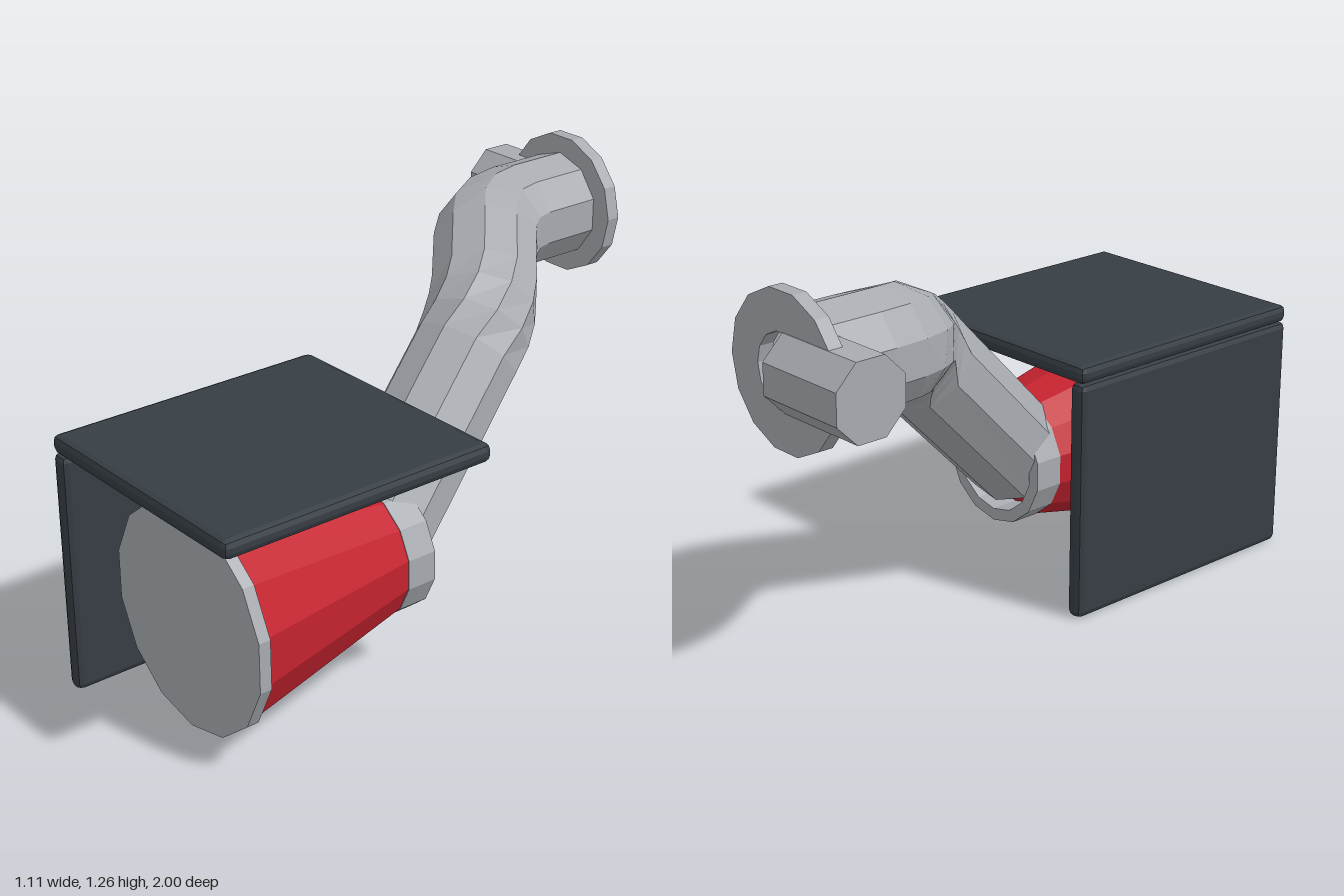
import * as THREE from 'three';
import { RoundedBoxGeometry } from 'three/addons/geometries/RoundedBoxGeometry.js';

const V = (x, y, z) => new THREE.Vector3(x, y, z);

// faceted normals
function flat(geometry) {
  const g = geometry.index ? geometry.toNonIndexed() : geometry;
  g.computeVertexNormals();
  return g;
}

function polygon(radius, sides, phase) {
  return Array.from({ length: sides }, (_, i) => {
    const a = phase + (i / sides) * Math.PI * 2;
    return new THREE.Vector2(Math.sin(a) * radius, Math.cos(a) * radius);
  });
}

// flat annulus with its back at z = 0
function ringGeometry(outer, inner, depth, phase) {
  const shape = new THREE.Shape(polygon(outer, 14, phase));
  shape.holes.push(new THREE.Path(polygon(inner, 14, phase)));
  return flat(new THREE.ExtrudeGeometry(shape, { depth, bevelEnabled: false }));
}

// ten-sided pipe swept through the path points, capped at its start
function pipeGeometry(points, radius, sides) {
  const rings = points.map((p, i) => {
    const before = points[Math.max(i - 1, 0)];
    const after = points[Math.min(i + 1, points.length - 1)];
    const t = after.clone().sub(before).normalize();
    const side = V(0, 1, 0).cross(t).normalize();
    const up = t.clone().cross(side);
    return polygon(radius, sides, 0).map((q) =>
      p.clone().addScaledVector(up, q.y).addScaledVector(side, q.x));
  });
  const verts = [];
  for (let j = 0; j < sides; j++) {
    const k = (j + 1) % sides;
    verts.push(points[0], rings[0][j], rings[0][k]);
    for (let i = 0; i < rings.length - 1; i++) {
      const a = rings[i], b = rings[i + 1];
      verts.push(a[j], b[j], a[k], b[j], b[k], a[k]);
    }
  }
  return flat(new THREE.BufferGeometry().setFromPoints(verts));
}

// polyline whose inner corners are rounded off
function roundedPath(corners, reach) {
  const path = [corners[0]];
  for (let i = 1; i < corners.length - 1; i++) {
    const c = corners[i];
    const toward = (q) => c.clone().add(q.clone().sub(c).setLength(reach));
    const bend = new THREE.QuadraticBezierCurve3(toward(corners[i - 1]), c, toward(corners[i + 1]));
    path.push(...bend.getPoints(3));
  }
  path.push(corners[corners.length - 1]);
  return path;
}

export function createModel() {
  const metal = new THREE.MeshStandardMaterial({ color: 0xa8acb1, side: THREE.DoubleSide });
  metal.name = 'grey metal';
  const red = new THREE.MeshStandardMaterial({ color: 0xc4222f });
  red.name = 'red paint';
  const dark = new THREE.MeshStandardMaterial({ color: 0x363d44 });
  dark.name = 'dark panel';

  const group = new THREE.Group();
  const add = (name, geometry, material, x, y, z) => {
    const mesh = new THREE.Mesh(geometry, material);
    mesh.name = name;
    mesh.position.set(x, y, z);
    group.add(mesh);
  };

  // lamp: red cone, front disc and open rear collar
  const lampX = 0.183, lampY = 0.372;
  const drum = (front, back, depth) =>
    flat(new THREE.CylinderGeometry(front, back, depth, 14).rotateX(Math.PI / 2));
  add('lampHousing', drum(0.324, 0.2, 0.585), red, lampX, lampY, 0.5525);
  add('lampFrontDisc', drum(0.337, 0.337, 0.037), metal, lampX, lampY, 0.8585);
  add('lampCollar', ringGeometry(0.203, 0.165, 0.095, 0), metal, lampX, lampY, 0.168);

  // two shade panels with bevelled edges
  const panel = (w, h) => flat(new RoundedBoxGeometry(w, h, 0.887, 1, 0.02));
  add('topShade', panel(0.812, 0.056), dark, 0.147, 0.773, 0.5565);
  add('sideShade', panel(0.054, 0.746), dark, -0.232, 0.373, 0.5565);

  // bent support arm
  const path = roundedPath([
    V(0.18, 0.37, 0.26), V(0.05, 0.9, -0.3), V(-0.258, 1.04, -0.58), V(-0.258, 1.04, -0.895),
  ], 0.12);
  add('supportArm', pipeGeometry(path, 0.164, 10), metal, 0, 0, 0);

  // wall flange and the octagonal stub that passes through it
  add('flange', ringGeometry(0.222, 0.108, 0.044, Math.PI / 14), metal, -0.256, 1.04, -0.935);
  const stub = new THREE.CylinderGeometry(0.117, 0.117, 0.297, 8)
    .rotateY(Math.PI / 8).rotateZ(Math.PI / 2);
  add('mountingStub', flat(stub), metal, -0.4085, 1.04, -0.892);

  return group;
}
